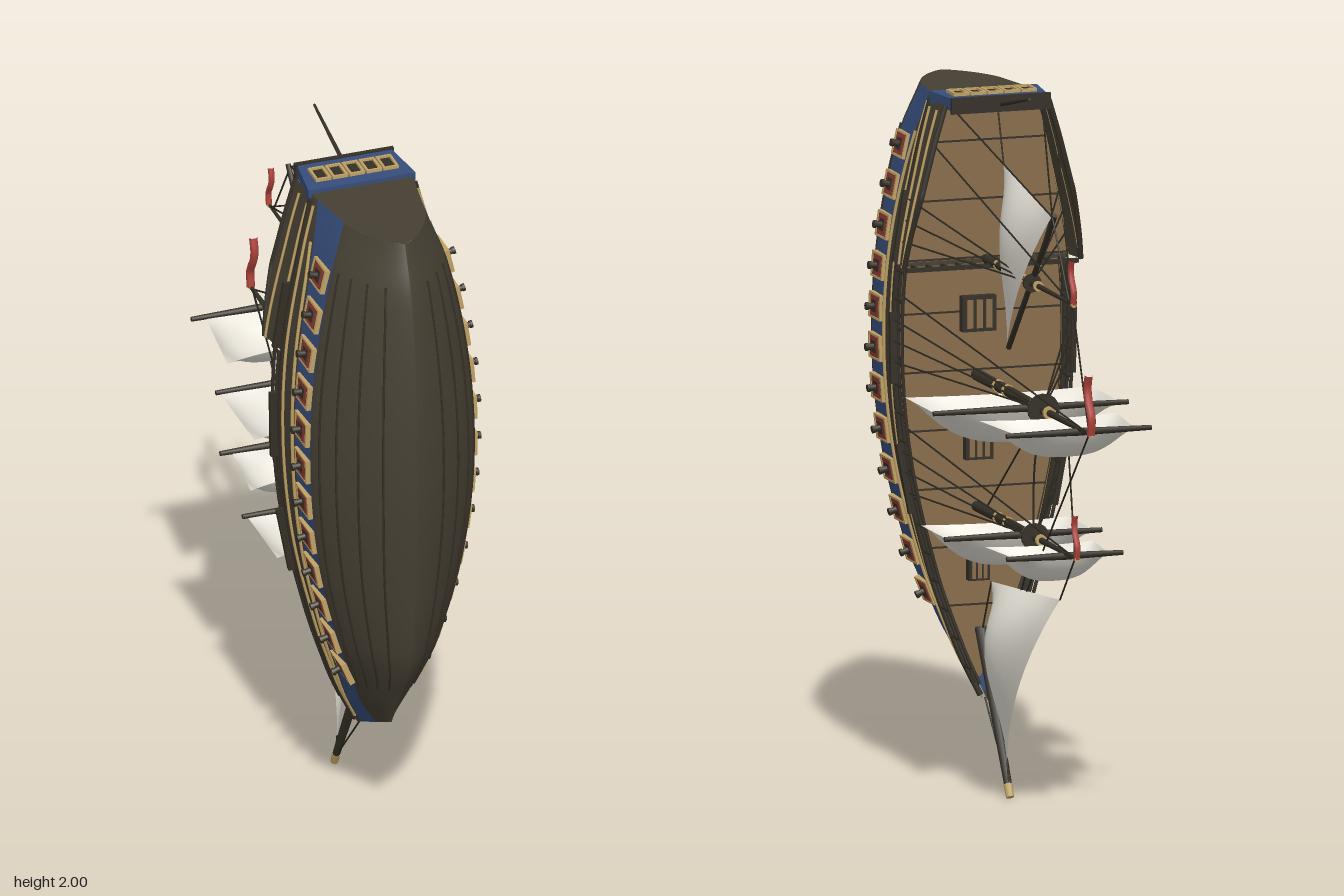
import * as THREE from 'three';

const mat = (name, color, double) => {
  const m = new THREE.MeshStandardMaterial({ color });
  m.name = name;
  if (double) m.side = THREE.DoubleSide;
  return m;
};
const M = {
  hull: mat('hullWood', 0x464033, true), dark: mat('darkWood', 0x342f26), blue: mat('bluePaint', 0x364d7a, true),
  gold: mat('gold', 0xbfa164), port: mat('portRed', 0x8a3a33), red: mat('pennantRed', 0xb0433c),
  deck: mat('deckPlanks', 0x886c4a, true), sail: mat('sailCloth', 0xe4e0d6, true), rope: mat('rope', 0x2a271f),
};
const V = (x, y, z) => new THREE.Vector3(x, y, z);

// Hull stations, bow down: y, keel z, half beam low and high, band bottom, band top, sheer z, rake
const ST = [
  [0.245, 0.48, 0.004, 0.006, 0.36, 0.245, 0.215, 0.52],
  [0.33, 0.535, 0.058, 0.052, 0.39, 0.27, 0.225, 0.45],
  [0.45, 0.605, 0.1, 0.099, 0.43, 0.305, 0.24, 0.33],
  [0.60, 0.645, 0.146, 0.148, 0.455, 0.335, 0.255, 0.18],
  [0.90, 0.68, 0.21, 0.218, 0.475, 0.36, 0.265, 0.04],
  [1.20, 0.70, 0.238, 0.248, 0.485, 0.37, 0.267, 0],
  [1.50, 0.69, 0.226, 0.238, 0.475, 0.36, 0.262, 0],
  [1.80, 0.645, 0.172, 0.184, 0.455, 0.325, 0.25, 0],
  [1.95, 0.59, 0.118, 0.148, 0.42, 0.27, 0.24, 0],
];
const slope = (i, k) => {
  const a = ST[Math.max(i - 1, 0)], b = ST[Math.min(i + 1, ST.length - 1)];
  return (b[k] - a[k]) / (b[0] - a[0]);
};
function section(y) {
  let i = 0;
  while (i < ST.length - 2 && y > ST[i + 1][0]) i++;
  const A = ST[i], B = ST[i + 1], h = B[0] - A[0], t = THREE.MathUtils.clamp((y - A[0]) / h, 0, 1);
  const f = k => (2 * t ** 3 - 3 * t * t + 1) * A[k] + (t ** 3 - 2 * t * t + t) * h * slope(i, k)
    + (3 * t * t - 2 * t ** 3) * B[k] + (t ** 3 - t * t) * h * slope(i + 1, k);
  return { keel: f(1), b: f(2), bs: f(3), low: f(4), top: f(5), sheer: f(6), rake: f(7) };
}
// Point on the hull side at station Y and depth z
function side(Y, z, out = 0) {
  const s = section(Y);
  const x = z > s.low
    ? s.b * Math.max(0, 1 - Math.min(1, (z - s.low) / (s.keel - s.low)) ** 1.4) ** (1 / 1.4)
    : THREE.MathUtils.lerp(s.b, s.bs, Math.min(1, (s.low - z) / (s.low - s.sheer)));
  return V(x + out, Y + s.rake * (z - 0.22), z);
}
function wall(y, z, out = 0) {
  let Y = y;
  for (let i = 0; i < 6; i++) Y = y - section(Y).rake * (z - 0.22);
  return side(Y, z, out);
}
// Point on the curved bottom, a = 0 at the keel and 1 at the band
function bottom(Y, a, out = 0) {
  const s = section(Y), q = a * Math.PI / 2, e = 2 / 1.4;
  const z = s.low + (s.keel - s.low) * Math.max(0, Math.cos(q)) ** e;
  return V(s.b * Math.sin(q) ** e + out, Y + s.rake * (z - 0.22), z + out * 0.5);
}

function add(g, name, geo, m, pos) {
  const o = new THREE.Mesh(geo, m);
  o.name = name;
  if (pos) o.position.copy(pos);
  g.add(o);
  return o;
}
function surface(g, name, fn, nu, nv, m) {
  const p = [], idx = [];
  for (let i = 0; i <= nu; i++) for (let j = 0; j <= nv; j++) p.push(...fn(i / nu, j / nv).toArray());
  for (let i = 0; i < nu; i++) for (let j = 0; j < nv; j++) {
    const a = i * (nv + 1) + j, b = a + nv + 1;
    idx.push(a, b, a + 1, b, b + 1, a + 1);
  }
  const geo = new THREE.BufferGeometry();
  geo.setAttribute('position', new THREE.Float32BufferAttribute(p, 3));
  geo.setIndex(idx);
  geo.computeVertexNormals();
  return add(g, name, geo, m);
}
const box = (g, name, w, h, d, m, x, y, z) => add(g, name, new THREE.BoxGeometry(w, h, d), m, V(x, y, z));
function rod(g, name, a, b, r0, r1, m, n = 8) {
  const d = b.clone().sub(a);
  const o = add(g, name, new THREE.CylinderGeometry(r1, r0, d.length(), n), m, a.clone().lerp(b, 0.5));
  o.quaternion.setFromUnitVectors(V(0, 1, 0), d.normalize());
  return o;
}
const rope = (g, a, b) => rod(g, 'rope', a, b, 0.0026, 0.0026, M.rope, 5);
const tube = (g, name, pts, r, m, n = 48) =>
  add(g, name, new THREE.TubeGeometry(new THREE.CatmullRomCurve3(pts), n, r, 6), m);
const line = (y0, y1, fn, n = 16) => Array.from({ length: n + 1 }, (_, i) => fn(y0 + (y1 - y0) * i / n));
const mix = THREE.MathUtils.lerp;

function buildSide(g) {
  const Y = u => mix(0.245, 1.95, u);
  surface(g, 'lowerHull', (u, v) => bottom(Y(u), v), 48, 14, M.hull);
  surface(g, 'blueBand', (u, v) => { const s = section(Y(u)); return side(Y(u), mix(s.low, s.top, v)); }, 48, 2, M.blue);
  surface(g, 'bulwark', (u, v) => { const s = section(Y(u)); return side(Y(u), mix(s.top, s.sheer, v)); }, 48, 2, M.hull);
  // Quarterdeck wall flares out a little towards its forward end
  const qTop = y => mix(0.155, 0.115, Math.min(1, (y - 1.48) / 0.2));
  const flare = (y, z) => 0.018 * (1 - (y - 1.48) / 0.47) * (section(y).sheer - z) / 0.11;
  const qSide = (y, z, out = 0) => side(y, z, flare(y, z) + out);
  surface(g, 'quarterdeckWall', (u, v) => { const y = mix(1.48, 1.94, u); return qSide(y, mix(section(y).sheer, qTop(y), v)); }, 16, 1, M.hull);
  tube(g, 'quarterdeckRail', line(1.48, 1.94, y => qSide(y, qTop(y))), 0.008, M.dark);
  for (const z of [0.165, 0.228]) tube(g, 'quarterdeckTrim', line(1.48, 1.92, y => qSide(y, z, 0.003)), 0.004, M.gold);
  tube(g, 'sheerTrim', line(0.27, 1.93, y => side(y, section(y).sheer + 0.022, 0.003)), 0.0045, M.gold);
  tube(g, 'bandTrim', line(0.27, 1.84, y => side(y, section(y).top - 0.012, 0.003)), 0.005, M.gold);
  tube(g, 'wale', line(0.26, 1.94, y => side(y, section(y).sheer)), 0.009, M.dark);
  for (const a of [0.33, 0.5, 0.66, 0.82]) tube(g, 'strake', line(0.4, 1.83, y => bottom(y, a, 0.001)), 0.0035, M.dark);
  // Open rail along the waist
  for (const k of [0.035, 0.068]) tube(g, 'waistRail', line(0.3, 1.47, y => { const p = side(y, section(y).sheer); p.z -= k; return p; }), 0.005, M.dark);
  for (let i = 0; i < 15; i++) {
    const y = 0.34 + i * 0.08, p = side(y, section(y).sheer);
    rod(g, 'railPost', p, V(p.x, p.y, p.z - 0.072), 0.006, 0.005, M.dark, 5);
  }
  // Gun ports
  for (let i = 0; i < 12; i++) {
    const y = 0.53 + i * 0.114, s = section(y), z = (s.low + s.top) / 2 + 0.006;
    const p = wall(y, z), port = new THREE.Group();
    port.name = 'gunPort';
    port.position.copy(p);
    port.rotation.z = Math.atan2(-(wall(y + 0.02, z).x - wall(y - 0.02, z).x), 0.04);
    box(port, 'portLid', 0.016, 0.058, 0.062, M.port, 0.003, 0, 0);
    box(port, 'portHole', 0.004, 0.034, 0.034, M.dark, 0.0105, 0, 0);
    for (const k of [-1, 1]) {
      box(port, 'portSill', 0.016, 0.006, 0.094, M.gold, 0.003, k * 0.033, 0);
      box(port, 'portFrame', 0.016, 0.07, 0.009, M.gold, 0.003, 0, k * 0.043);
      box(port, 'portGap', 0.012, 0.06, 0.007, M.dark, 0.003, 0, k * 0.0345);
    }
    rod(port, 'cannon', V(-0.01, 0, 0), V(0.034, 0, 0), 0.011, 0.008, M.dark);
    rod(port, 'muzzle', V(0.028, 0, 0), V(0.036, 0, 0), 0.011, 0.011, M.dark);
    g.add(port);
  }
  // Channels, shrouds and backstays
  for (const [y0, top, tip, back] of [[1.485, -0.18, -0.52, 0.34], [1.145, -0.275, -0.67, 0.25], [0.775, -0.205, -0.55, 0.25]]) {
    const c = wall(y0 + 0.1, 0.25);
    const ch = box(g, 'channel', 0.025, 0.2, 0.014, M.dark, c.x + 0.01, c.y, 0.238);
    ch.rotation.z = Math.atan2(wall(y0, 0.25).x - wall(y0 + 0.2, 0.25).x, 0.2);
    for (const d of [0.06, 0.12, 0.18]) rope(g, V(0, y0, top), wall(y0 + d, 0.235, 0.012));
    rope(g, V(0, y0, tip), wall(y0 + back, back > 0.3 ? 0.12 : 0.21));
  }
  rope(g, V(0, 1.7, -0.355), V(0.13, 1.93, 0.11));
}

function squareSail(g, y0, zTop, zFoot, wTop, wFoot, belly, yardW) {
  surface(g, 'squareSail', (u, v) => {
    const s = u * 2 - 1;
    return V(s * mix(wTop, wFoot, v), y0 - belly * Math.max(0, Math.sin(Math.PI * v)) ** 0.8 * (1 - Math.abs(s) ** 3),
      mix(zTop, zFoot - 0.03 * (1 - s * s), v));
  }, 20, 16, M.sail);
  for (const k of [-1, 1]) rod(g, 'yard', V(0, y0 + 0.004, zTop - 0.006), V(k * yardW, y0 + 0.004, zTop - 0.006), 0.011, 0.007, M.dark);
}
function triSail(g, name, a, b, c, bulge) {
  surface(g, name, (u, v) => {
    const p = a.clone().lerp(b, u).lerp(c, v);
    p.x += bulge * 4 * u * (1 - u) * Math.sin(Math.PI * (0.12 + 0.88 * v)) * (1 - v * v);
    return p;
  }, 12, 12, M.sail);
}
function mast(g, y, top, tip, r, discR) {
  rod(g, 'lowerMast', V(0, y, 0.34), V(0, y, top - 0.03), r, r * 0.8, M.dark, 10);
  rod(g, 'topMast', V(0, y, top), V(0, y, tip), r * 0.65, r * 0.35, M.dark);
  rod(g, 'mastTop', V(0, y, top + 0.007), V(0, y, top - 0.008), discR * 0.95, discR, M.dark, 16);
  rod(g, 'mastTopPlate', V(0, y, top + 0.012), V(0, y, top + 0.007), discR * 0.92, discR * 0.94, M.gold, 16);
  for (const z of [0.1, 0.02, top + 0.05, top - 0.06]) rod(g, 'mastBand', V(0, y, z), V(0, y, z + 0.01), r * 1.1, r * 1.1, M.gold, 10);
  rod(g, 'mastCap', V(0, y, tip), V(0, y, tip - 0.012), 0.008, 0.008, M.gold);
  const k = tip < -0.6 ? 1.35 : 1;
  tube(g, 'pennant', [[0, 0], [0.035, -0.004], [0.07, 0.016], [0.095, 0.022], [0.122, 0.014]]
    .map(([dy, dz]) => V(0, y + dy * k, tip - 0.005 + dz * k)), 0.009 * k, M.red, 20);
}

export function createModel() {
  const ship = new THREE.Group();
  ship.name = 'sailingShip';
  const left = new THREE.Group();
  buildSide(left);
  const right = left.clone();
  left.name = 'leftSide';
  right.name = 'rightSide';
  right.scale.x = -1;
  ship.add(left, right);

  // Decks, seams, bulkhead and hatches
  const deck = (name, y0, y1, z) => surface(ship, name, (u, v) => {
    const p = side(mix(y0, y1, u), z, -0.003);
    p.x = Math.max(p.x, 0.001) * (v * 2 - 1);
    return p;
  }, 24, 2, M.deck);
  deck('mainDeck', 0.26, 1.5, 0.292);
  deck('quarterDeck', 1.48, 1.94, 0.215);
  for (let y = 0.5; y < 1.9; y += 0.165) box(ship, 'deckSeam', wall(y, 0.25).x * 1.96, 0.005, 0.005, M.dark, 0, y, y < 1.48 ? 0.291 : 0.214);
  box(ship, 'bulkhead', 0.47, 0.012, 0.085, M.hull, 0, 1.48, 0.253);
  box(ship, 'breakRail', 0.5, 0.012, 0.012, M.dark, 0, 1.475, 0.155);
  for (let i = -5; i <= 5; i++) box(ship, 'breakRailPost', 0.008, 0.008, 0.06, M.dark, i * 0.043, 1.475, 0.185);
  for (const [y, w] of [[1.32, 0.1], [0.95, 0.08], [0.6, 0.06]]) {
    box(ship, 'hatch', w, w, 0.03, M.dark, 0, y, 0.28);
    for (let i = -1; i <= 1; i++) box(ship, 'hatchSlot', w * 0.18, w * 0.8, 0.004, M.deck, i * w * 0.28, y, 0.264);
  }

  // Stern
  surface(ship, 'transom', (u, v) => {
    const s = section(1.95), p = side(1.95, mix(s.keel, 0.2, u));
    p.x *= v * 2 - 1;
    return p;
  }, 20, 2, M.hull);
  const sh = new THREE.Shape([[-0.138, -0.085], [0.138, -0.085], [0.157, -0.236], [-0.157, -0.236]].map(p => new THREE.Vector2(...p)));
  const plate = add(ship, 'sternPlate', new THREE.ExtrudeGeometry(sh, { depth: 0.035, bevelEnabled: false }), M.blue, V(0, 1.927, 0));
  plate.rotation.x = -Math.PI / 2;
  box(ship, 'sternRail', 0.29, 0.045, 0.014, M.dark, 0, 1.943, 0.085);
  for (let i = -2; i <= 2; i++) {
    box(ship, 'windowPane', 0.032, 0.004, 0.056, M.dark, i * 0.0495, 1.9625, 0.163);
    for (const k of [-1, 1]) {
      box(ship, 'windowFrame', 0.007, 0.01, 0.07, M.gold, i * 0.0495 + k * 0.019, 1.966, 0.163);
      box(ship, 'windowFrame', 0.042, 0.01, 0.007, M.gold, i * 0.0495, 1.966, 0.163 + k * 0.0315);
    }
  }
  rod(ship, 'flagstaff', V(0, 1.935, 0.11), V(0, 1.997, -0.16), 0.007, 0.004, M.dark);

  // Bowsprit
  rod(ship, 'bowsprit', V(0, 0.44, 0.255), V(0, 0.035, 0.02), 0.017, 0.011, M.dark, 10);
  rod(ship, 'bowspritTip', V(0, 0.04, 0.023), V(0, 0.006, 0.005), 0.0125, 0.011, M.gold, 10);

  // Masts and sails
  mast(ship, 1.485, -0.18, -0.53, 0.013, 0.026);
  mast(ship, 1.145, -0.275, -0.68, 0.017, 0.046);
  mast(ship, 0.775, -0.205, -0.56, 0.015, 0.04);
  squareSail(ship, 1.128, -0.165, 0.11, 0.272, 0.272, 0.112, 0.285);
  squareSail(ship, 1.132, -0.575, -0.315, 0.17, 0.2, 0.086, 0.212);
  squareSail(ship, 0.76, -0.1, 0.14, 0.215, 0.215, 0.098, 0.23);
  squareSail(ship, 0.762, -0.455, -0.24, 0.135, 0.158, 0.082, 0.17);
  triSail(ship, 'lateenSail', V(0, 1.7, -0.35), V(0, 1.28, 0.03), V(0, 1.78, 0.06), 0.06);
  rod(ship, 'lateenYard', V(-0.006, 1.705, -0.36), V(-0.006, 1.265, 0.035), 0.008, 0.008, M.dark);
  triSail(ship, 'jib', V(0, 0.635, -0.42), V(0, 0.1, 0.03), V(0, 0.585, 0.165), 0.105);

  // Centreline stays
  const stays = [
    [0.775, -0.55, 0.635, -0.42], [0.1, 0.03, 0.02, 0.01], [0.775, -0.205, 0.25, 0.145], [1.145, -0.67, 0.3, 0.17],
    [1.145, -0.27, 0.79, 0.2], [0.25, 0.22, 0.02, 0.01], [1.7, -0.355, 1.485, -0.5],
    [1.78, 0.06, 1.93, 0.11], [0.585, 0.165, 0.42, 0.25],
  ];
  for (const [ya, za, yb, zb] of stays) rope(ship, V(0, ya, za), V(0, yb, zb));
  tube(ship, 'slackStay', [V(0, 1.13, -0.25), V(0, 0.95, -0.2), V(0, 0.785, -0.195)], 0.003, M.rope, 16);
  return ship;
}
